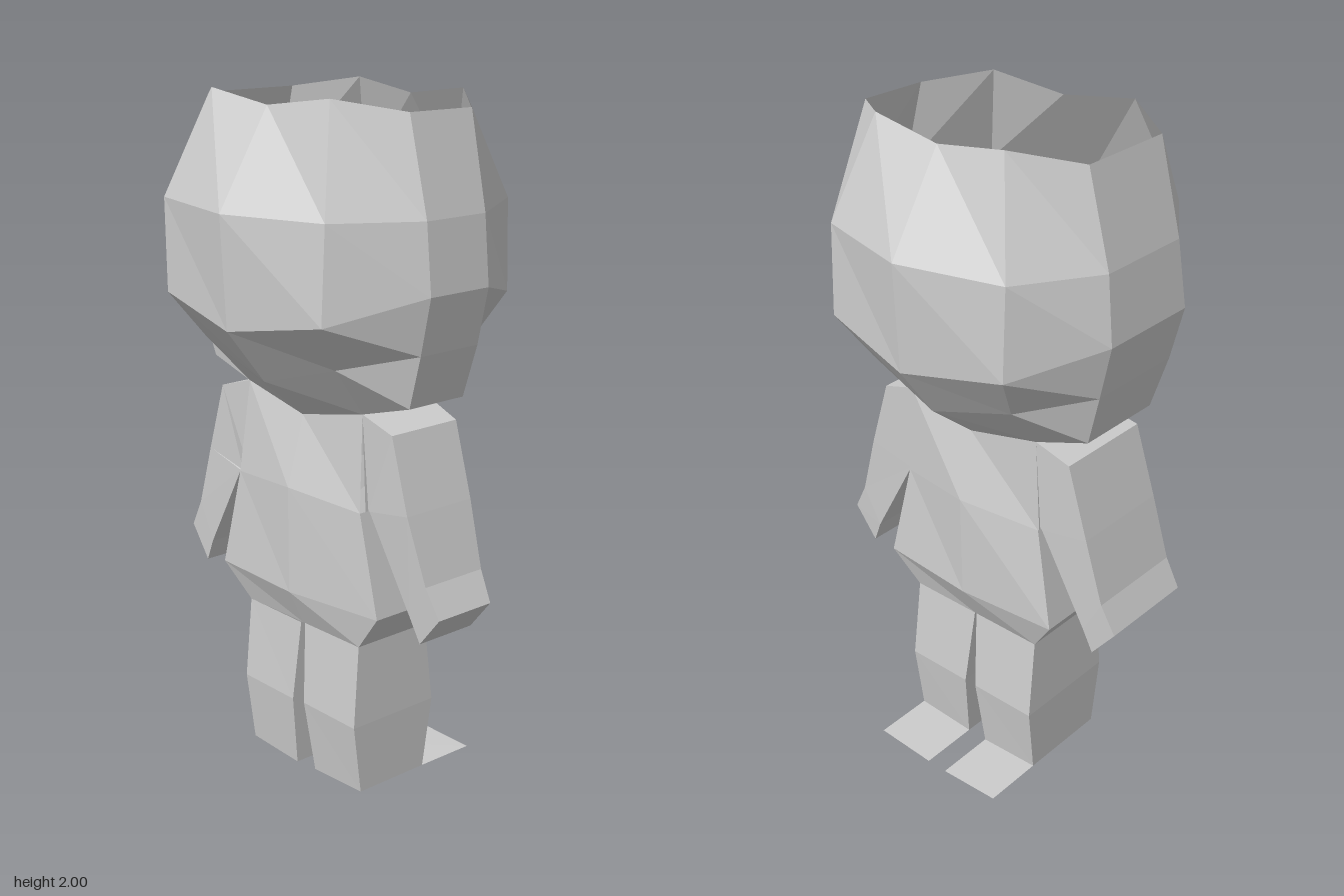
import * as THREE from 'three';

const material = new THREE.MeshStandardMaterial({
  color: 0xcccccc, flatShading: true, side: THREE.DoubleSide,
});

// Skins a stack of equal-length rings of [x, y, z]; skip(row, side) leaves a quad open.
function loft(name, rings, { cap = false, skip = () => false, extra = [] } = {}) {
  const pos = [];
  const quad = (a, b, c, d) => pos.push(...a, ...b, ...c, ...a, ...c, ...d);
  const n = rings[0].length;
  for (let r = 0; r < rings.length - 1; r++) {
    for (let i = 0; i < n; i++) {
      const j = (i + 1) % n;
      if (!skip(r, i)) quad(rings[r][i], rings[r][j], rings[r + 1][j], rings[r + 1][i]);
    }
  }
  if (cap) quad(...rings[rings.length - 1]);
  extra.forEach((q) => quad(...q));
  const geometry = new THREE.BufferGeometry();
  geometry.setAttribute('position', new THREE.Float32BufferAttribute(pos, 3));
  geometry.computeVertexNormals();
  const mesh = new THREE.Mesh(geometry, material);
  mesh.name = name;
  return mesh;
}

// Ten-sided hollow head, open at the crown and at the neck
function createHead() {
  const ring = (xz, [yMid, ySide, yEnd]) => {
    const ys = [yMid, ySide, yEnd, yEnd, ySide];
    return xz.map(([x, z], i) => [x, ys[i % 5], z]);
  };
  const rings = [
    ring([[0.25, 0], [0.24, -0.21], [0.12, -0.37], [-0.17, -0.37], [-0.27, -0.21],
      [-0.25, 0.01], [-0.22, 0.23], [-0.08, 0.37], [0.12, 0.38], [0.24, 0.22]], [1.97, 2, 1.97]),
    ring([[0.42, 0], [0.34, -0.3], [0.12, -0.44], [-0.17, -0.44], [-0.38, -0.29],
      [-0.42, 0.03], [-0.3, 0.31], [-0.08, 0.44], [0.12, 0.44], [0.34, 0.3]], [1.71, 1.71, 1.71]),
    ring([[0.405, 0], [0.35, -0.3], [0.13, -0.465], [-0.18, -0.465], [-0.385, -0.28],
      [-0.405, 0.03], [-0.32, 0.32], [-0.08, 0.46], [0.12, 0.46], [0.35, 0.3]], [1.4, 1.45, 1.52]),
    ring([[0.29, 0], [0.26, -0.25], [0.12, -0.425], [-0.18, -0.425], [-0.28, -0.25],
      [-0.28, 0.02], [-0.22, 0.25], [-0.08, 0.425], [0.12, 0.425], [0.26, 0.25]], [1.24, 1.31, 1.36]),
    ring([[0.14, 0], [0.135, -0.23], [0.11, -0.385], [-0.16, -0.385], [-0.15, -0.23],
      [-0.135, 0], [-0.11, 0.23], [-0.08, 0.385], [0.11, 0.385], [0.135, 0.23]], [1.115, 1.165, 1.21]),
  ];
  // Undersides joining the cheeks to the neck opening
  const b = rings[4];
  return loft('head', rings, {
    extra: [[b[1], b[2], b[3], b[4]], [b[6], b[7], b[8], b[9]]],
  });
}

// Hollow six-sided torso with a slight ridge down the middle
function createTorso() {
  // y at corners, y at middle, half width, corner x, middle x, back corners, back middle
  const rows = [
    [1.165, 1.115, 0.23, 0.135, 0.14, -0.11, -0.15, -0.135],
    [0.89, 0.91, 0.245, 0.14, 0.19, -0.13, -0.18, -0.19],
    [0.59, 0.59, 0.308, 0.16, 0.185, -0.12, -0.2, -0.19],
    [0.48, 0.48, 0.23, 0.13, 0.13, -0.12, -0.16, -0.14],
  ];
  const rings = rows.map(([y, ym, w, f, fm, bPos, bNeg, bm]) => [
    [f, y, w], [fm, ym, 0], [f, y, -w], [bNeg, y, -w], [bm, ym, 0], [bPos, y, w],
  ]);
  // Sides of the top row open into the arms
  return loft('torso', rings, { skip: (r, i) => r === 0 && (i === 2 || i === 5) });
}

// Arm along +z (s = 1) or -z (s = -1)
function createArm(name, s) {
  // outer z, outer y, inner z, inner y, front x, back x at +z, back x at -z
  const sections = [
    [0.23, 1.165, 0.245, 0.89, 0.135, -0.11, -0.15],
    [0.34, 1.13, 0.245, 0.89, 0.13, -0.1, -0.17],
    [0.405, 0.92, 0.25, 0.89, 0.13, -0.1, -0.175],
    [0.46, 0.73, 0.4, 0.62, 0.125, -0.08, -0.18],
    [0.505, 0.645, 0.43, 0.55, 0.12, -0.07, -0.18],
  ];
  const rings = sections.map(([zo, yo, zi, yi, f, bp, bn]) => {
    const b = s > 0 ? bp : bn;
    const ring = [[f, yo, s * zo], [b, yo, s * zo], [b, yi, s * zi], [f, yi, s * zi]];
    return s > 0 ? ring : ring.reverse();
  });
  return loft(name, rings, { cap: true });
}

// Leg with a closed sole and a thin flat toe sheet towards +x
function createLeg(name, s) {
  // y outer, y inner, outer z, inner z, front x, back x at +z, back x at -z
  const sections = [
    [0.48, 0.48, 0.23, 0.003, 0.13, -0.12, -0.16],
    [0.23, 0.23, 0.235, 0.02, 0.158, -0.14, -0.18],
    [0.012, 0.003, 0.23, 0.034, 0.13, -0.11, -0.155],
  ];
  const rings = sections.map(([yo, yi, zo, zi, f, bp, bn]) => {
    const [bo, bi] = s > 0 ? [bp, bp - 0.015] : [bn, bn + 0.015];
    const ring = [[f, yo, s * zo], [f, yi, s * zi], [bi, yi, s * zi], [bo, yo, s * zo]];
    return s > 0 ? ring : ring.reverse();
  });
  const toe = [[0.13, 0.012, s * 0.23], [0.13, 0.003, s * 0.034],
    [0.315, 0, s * 0.034], [0.315, 0.01, s * 0.23]];
  return loft(name, rings, { cap: true, extra: [s > 0 ? toe.reverse() : toe] });
}

export function createModel() {
  const group = new THREE.Group();
  group.name = 'figure';
  group.add(createHead(), createTorso());
  for (const [side, s] of [['front', 1], ['back', -1]]) {
    group.add(createArm(`${side}Arm`, s), createLeg(`${side}Leg`, s));
  }
  return group;
}
